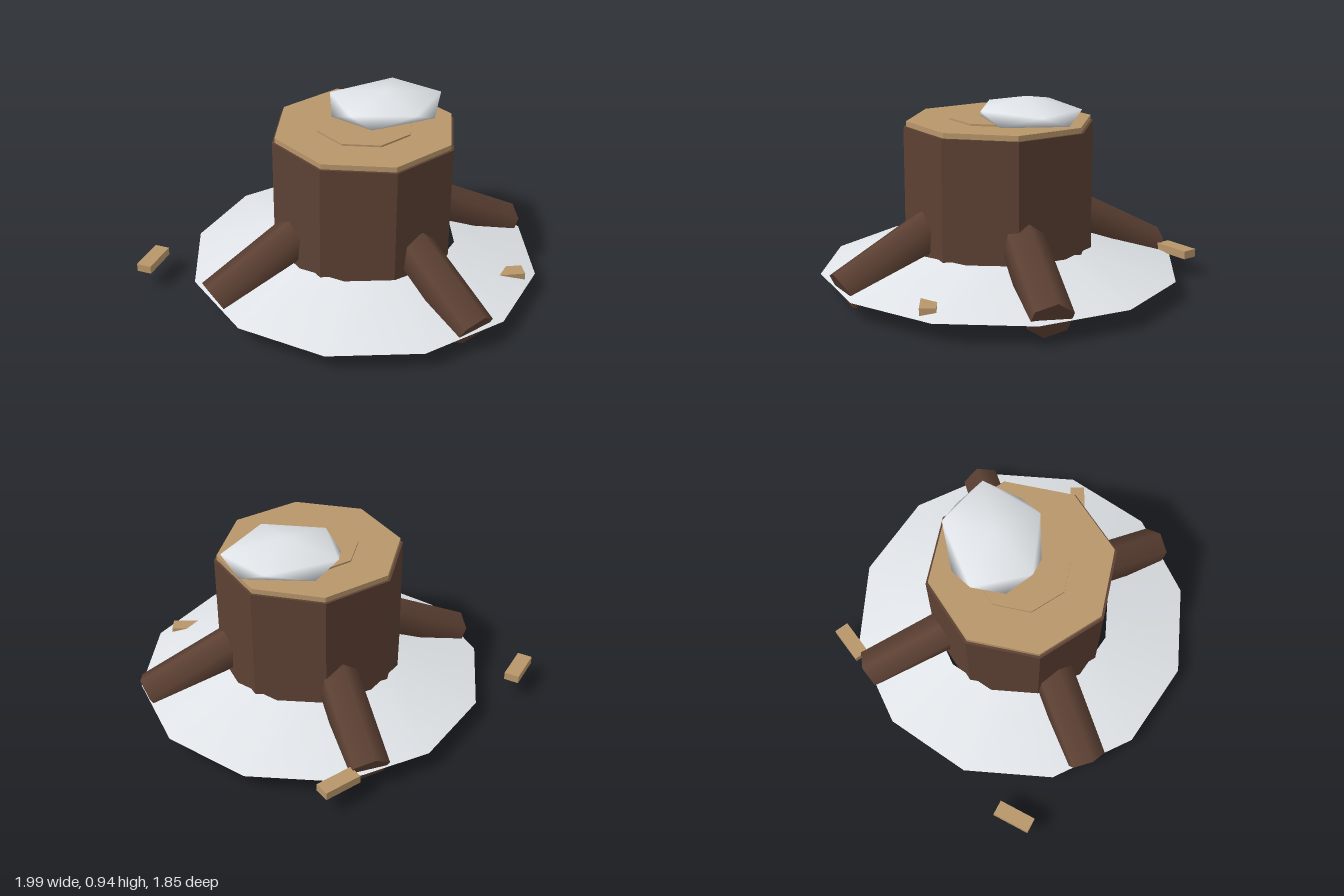
import * as THREE from 'three';
import { mergeVertices, toCreasedNormals } from 'three/addons/utils/BufferGeometryUtils.js';
import { ConvexGeometry } from 'three/addons/geometries/ConvexGeometry.js';

const CX = 0.125, CZ = 0.05; // stump axis

export function createModel() {
  const group = new THREE.Group();
  const bark = new THREE.MeshStandardMaterial({ color: 0x5c4033 });
  bark.name = 'bark';
  const wood = new THREE.MeshStandardMaterial({ color: 0xb8966a });
  wood.name = 'cut wood';
  const snow = new THREE.MeshStandardMaterial({ color: 0xe6eaee, side: THREE.DoubleSide });
  snow.name = 'snow';

  const add = (name, geometry, material, x, y, z) => {
    const mesh = new THREE.Mesh(geometry, material);
    mesh.name = name;
    mesh.position.set(x, y, z);
    group.add(mesh);
    return mesh;
  };

  // Octagonal slabs stacked on one axis
  const octagon = (name, radius, y0, y1, material) => {
    const geometry = toCreasedNormals(new THREE.CylinderGeometry(radius, radius, y1 - y0, 8), 0.3);
    add(name, geometry, material, CX, (y0 + y1) / 2, CZ);
  };
  octagon('trunk', 0.46, 0.1, 0.8, bark);
  octagon('cutTop', 0.447, 0.8, 0.825, wood);
  octagon('growthRing', 0.24, 0.825, 0.834, wood);

  // Sloping snow skirt around the trunk
  add('snowSkirt', new THREE.CylinderGeometry(0.46, 0.87, 0.13, 12, 1, true), snow, CX, 0.165, CZ);

  // Roots slope outward and down; angles run from +x toward +z
  const rootAngles = [-0.08, 1.23, 2.92, 4.55];
  const up = new THREE.Vector3(0, 1, 0);
  rootAngles.forEach((angle, i) => {
    const at = (r, y) => new THREE.Vector3(CX + r * Math.cos(angle), y, CZ + r * Math.sin(angle));
    const outer = at(0.825, 0.1), inner = at(0.38, 0.335);
    const axis = inner.clone().sub(outer);
    const geometry = new THREE.CylinderGeometry(0.104, 0.106, axis.length(), 6);
    // Turn one corner of the hexagon upward, slightly twisted
    geometry.rotateY(Math.PI / 2 - angle + 0.15);
    const mid = inner.add(outer).multiplyScalar(0.5);
    const root = add('root' + (i + 1), geometry, bark, mid.x, mid.y, mid.z);
    root.quaternion.setFromUnitVectors(up, axis.normalize());
  });

  // Faceted snow clump: apex, two staggered rings of five, base point
  const points = [
    [0.26, 0.95, -0.05],
    [0.56, 0.896, -0.06], [0.385, 0.9, -0.285], [0.03, 0.9, -0.21], [0.04, 0.9, 0.085], [0.34, 0.9, 0.178],
    [0.49, 0.842, -0.2], [0.15, 0.842, -0.28], [-0.01, 0.845, -0.05], [0.13, 0.842, 0.145], [0.46, 0.842, 0.11],
    [0.27, 0.8, -0.06],
  ].map((p) => new THREE.Vector3(...p));
  let clump = new ConvexGeometry(points);
  clump.deleteAttribute('normal');
  clump = mergeVertices(clump);
  clump.computeVertexNormals();
  add('snowClump', clump, snow, 0, 0, 0);

  // Wood chips scattered on and around the snow: x, z, turn
  [[-0.91, -0.178, 0.9], [0.146, -0.85, 0.46], [0.714, 0.474, -0.18]].forEach(([x, z, turn], i) => {
    const chip = add('woodChip' + (i + 1), new THREE.BoxGeometry(0.19, 0.04, 0.075), wood, x, 0.123, z);
    chip.rotation.y = turn;
  });

  return group;
}
